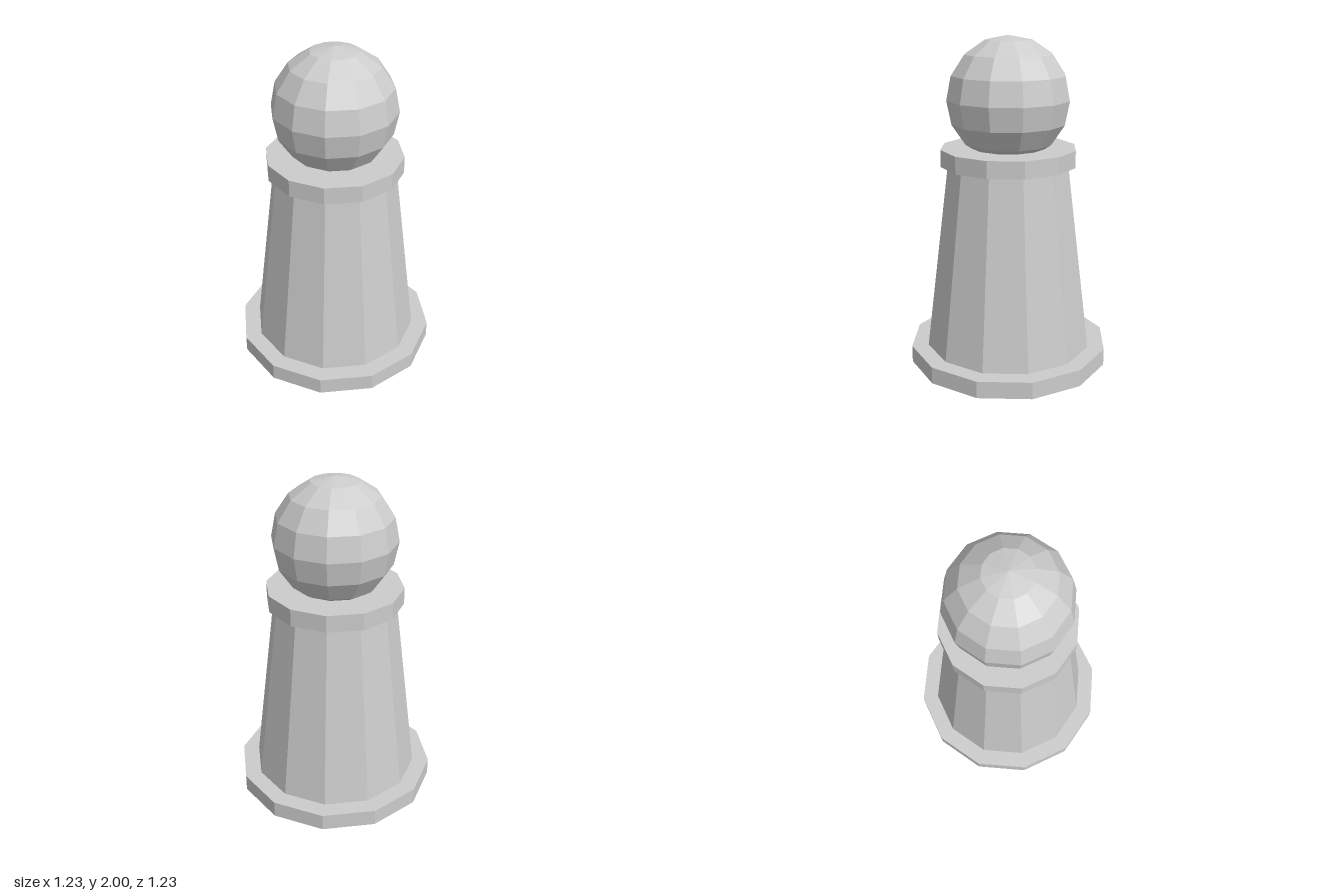
import * as THREE from 'three';

const SIDES = 12;

export function createModel() {
  const model = new THREE.Group();
  model.name = 'pawn';
  const stone = new THREE.MeshStandardMaterial({ color: 0xcccccc, flatShading: true });
  stone.name = 'light grey';

  const add = (name, geometry, y) => {
    const mesh = new THREE.Mesh(geometry, stone);
    mesh.name = name;
    mesh.position.y = y;
    model.add(mesh);
  };
  // Twelve-sided drum between two heights
  const drum = (name, topRadius, bottomRadius, y0, y1) =>
    add(name, new THREE.CylinderGeometry(topRadius, bottomRadius, y1 - y0, SIDES), (y0 + y1) / 2);

  drum('base', 0.617, 0.617, 0, 0.104);
  drum('body', 0.37, 0.514, 0.104, 1.24);
  drum('collar', 0.411, 0.411, 1.24, 1.343);

  // Faceted ball, sunk slightly into the collar
  add('head', new THREE.SphereGeometry(0.37, SIDES, 8), 1.63);

  return model;
}
